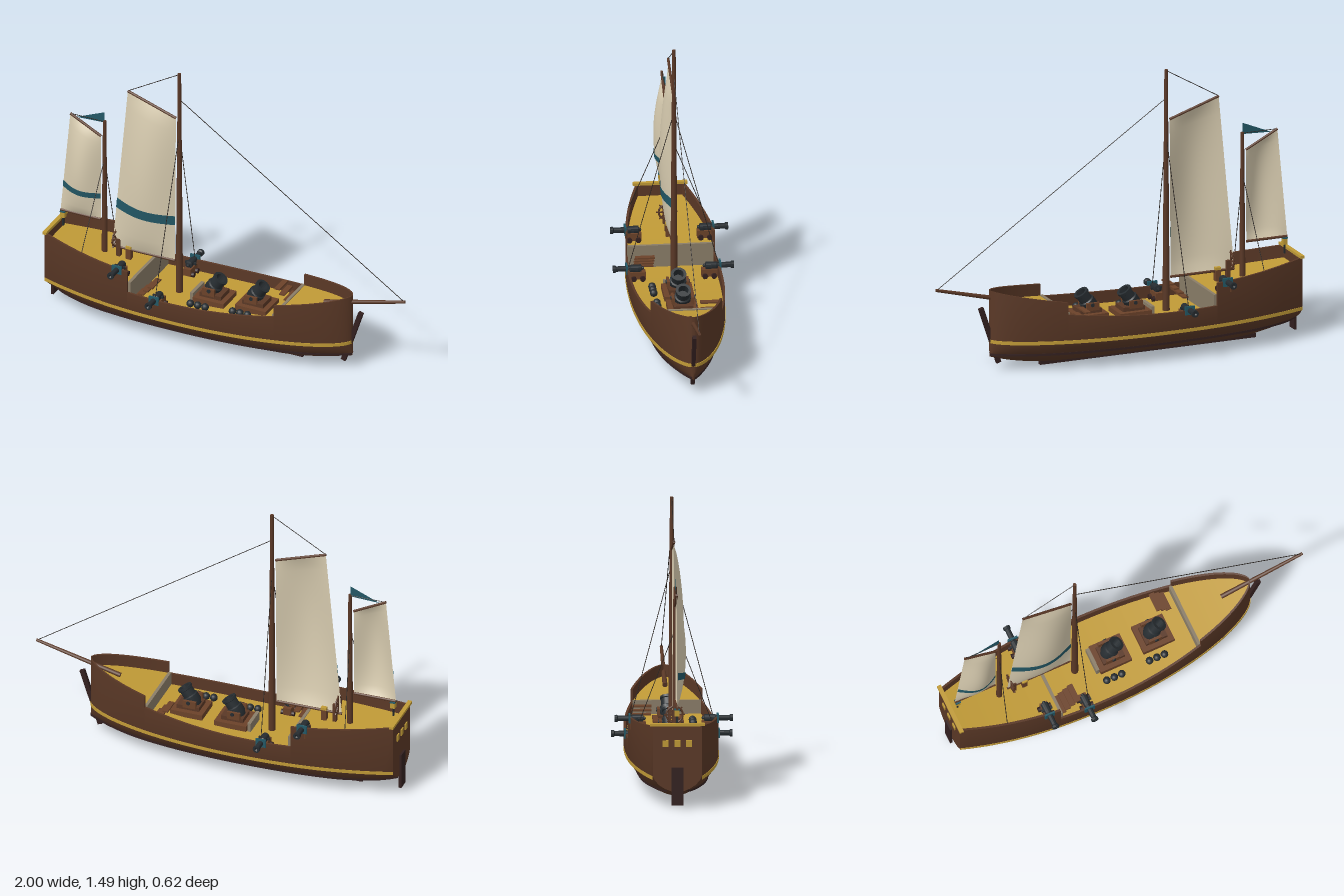
import * as THREE from 'three';
import { toCreasedNormals } from 'three/addons/utils/BufferGeometryUtils.js';

const mat = (name, color, side = THREE.FrontSide) => {
  const m = new THREE.MeshStandardMaterial({ color, side });
  m.name = name;
  return m;
};

export function createModel() {
  const ship = new THREE.Group();
  ship.name = 'sailingShip';
  const hullWood = mat('hullBrown', 0x5a3826, THREE.DoubleSide);
  const darkWood = mat('darkWood', 0x33201f);
  const redWood = mat('carriageBrown', 0x6b4229);
  const yellow = mat('yellow', 0xc09a36);
  const canvas = mat('canvas', 0xd8ccb0, THREE.DoubleSide);
  const teal = mat('teal', 0x235866, THREE.DoubleSide);
  const iron = mat('iron', 0x262c30);
  const greyWood = mat('greyWood', 0x8a7d68);
  const rope = mat('rope', 0x2c2622);

  // --- helpers
  const add = (name, geo, material, x = 0, y = 0, z = 0, parent = ship) => {
    const m = new THREE.Mesh(geo, material);
    m.name = name;
    m.position.set(x, y, z);
    parent.add(m);
    return m;
  };
  const box = (name, w, h, d, material, x, y, z, parent) =>
    add(name, new THREE.BoxGeometry(w, h, d), material, x, y, z, parent);
  const bar = (name, a, b, r1, r2, material, sides = 10) => {
    const p = new THREE.Vector3(...a), q = new THREE.Vector3(...b), d = q.clone().sub(p);
    const m = add(name, new THREE.CylinderGeometry(r2, r1, d.length(), sides), material);
    m.position.copy(p).add(q).multiplyScalar(0.5);
    m.quaternion.setFromUnitVectors(new THREE.Vector3(0, 1, 0), d.normalize());
    return m;
  };
  // surface through rows of points
  const loft = (rows, crease = 0.6) => {
    const n = rows[0].length, index = [];
    for (let i = 0; i < rows.length - 1; i++) for (let j = 0; j < n - 1; j++) {
      const a = i * n + j, c = a + n;
      index.push(a, a + 1, c, a + 1, c + 1, c);
    }
    const g = new THREE.BufferGeometry();
    g.setAttribute('position', new THREE.Float32BufferAttribute(rows.flat(2), 3));
    g.setIndex(index);
    return toCreasedNormals(g, crease);
  };

  // --- hull lines
  const sheer = x => 0.263 + 0.1 * (x + 0.3) ** 2;
  const width = x => x > -0.2
    ? 0.24 * Math.max(0, 1 - ((x + 0.2) / 0.9) ** 2) ** 0.6
    : 0.24 - 0.115 * ((-0.2 - x) / 0.79) ** 2.3;
  const bottom = x => 0.012 + 0.073 * (Math.max(0, -0.6 - x) / 0.39) ** 2
    + 0.065 * (Math.max(0, x - 0.3) / 0.4) ** 2;
  const bilge = [[0, 0], [0.25, 0.08], [0.5, 0.22], [0.75, 0.46], [0.92, 0.74], [1, 1]];
  const section = (x, top) => [
    ...bilge.map(([f, h]) => [f * width(x), bottom(x) + h * (0.17 - bottom(x))]),
    [width(x), top]];
  const widthAt = (x, y) => {
    const s = section(x, 0.5);
    const k = Math.max(1, s.findIndex(p => p[1] >= y));
    const t = (y - s[k - 1][1]) / (s[k][1] - s[k - 1][1]);
    return s[k - 1][0] + t * (s[k][0] - s[k - 1][0]);
  };
  const span = (a, b, n, ease = t => t) =>
    Array.from({ length: n + 1 }, (_, i) => a + (b - a) * ease(i / n));
  // stern, waist and bow parts: stations, rail rise and deck height over the sheer
  const parts = [
    { name: 'aftDeck', xs: span(-0.99, -0.47, 12), rail: 0.122, deck: 0.055 },
    { name: 'mainDeck', xs: span(-0.47, 0.34, 16), rail: 0.002, deck: -0.06 },
    { name: 'foreDeck', xs: span(0.34, 0.7, 16, t => Math.sin(t * Math.PI / 2)), rail: 0.067, deck: 0.005 },
  ];
  const stations = parts.flatMap(p => p.xs);

  // hull with bulwarks, rail and inner walls
  const hullRows = parts.flatMap(p => p.xs.map(x => {
    const top = sheer(x) + p.rail, inner = Math.max(0, width(x) - 0.012);
    const half = [...section(x, top), [inner, top], [inner, sheer(x) + p.deck - 0.01]];
    return [...half.slice(1).reverse().map(([z, y]) => [x, y, z]), ...half.map(([z, y]) => [x, y, -z])];
  }));
  add('hull', loft(hullRows), hullWood);
  const sternHalf = section(-0.99, sheer(-0.99) + 0.122);
  const transom = new THREE.Shape([...sternHalf.map(p => new THREE.Vector2(...p)),
    ...sternHalf.slice(1).reverse().map(([z, y]) => new THREE.Vector2(-z, y))]);
  add('transom', new THREE.ShapeGeometry(transom).rotateY(-Math.PI / 2), hullWood, -0.99);
  for (const p of parts) {
    add(p.name, loft(p.xs.map(x => [-1, 1].map(s =>
      [x, sheer(x) + p.deck, s * Math.max(0, width(x) - 0.008)]))), yellow);
  }

  // painted stripe and lower wale on both sides
  const band = (name, yAt, h, out, material) => {
    for (const s of [1, -1]) {
      const rows = stations.map(x => {
        const y = yAt(x), w = widthAt(x, y);
        const c = [[w - 0.003, y + h], [w + out, y + h], [w + out, y - h], [w - 0.003, y - h]]
          .map(([z, yy]) => [x, yy, s * z]);
        return s > 0 ? c : c.reverse();
      });
      add(name, loft(rows), material);
    }
  };
  band('stripe', () => 0.16, 0.009, 0.006, yellow);
  band('lowerWale', x => Math.max(0.088, bottom(x) + 0.012), 0.006, 0.007, darkWood);

  // keel, stem, rudder and stern details
  box('keel', 1.2, 0.022, 0.022, darkWood, -0.18, 0.011, 0);
  box('stem', 0.025, 0.315, 0.02, darkWood, 0.698, 0.19, 0).rotation.z = -0.32;
  box('rudder', 0.014, 0.195, 0.06, darkWood, -0.993, 0.118, 0);
  box('taffrail', 0.022, 0.014, 0.28, yellow, -0.985, 0.437, 0);
  for (const z of [-0.06, 0, 0.06]) box('sternWindow', 0.008, 0.035, 0.03, yellow, -0.992, 0.34, z);
  box('lanternPost', 0.008, 0.05, 0.008, iron, -0.945, 0.45, 0);
  box('lantern', 0.024, 0.032, 0.024, yellow, -0.945, 0.49, 0);
  box('lanternCap', 0.028, 0.006, 0.028, teal, -0.945, 0.508, 0);

  // bulkheads and stairs to the raised decks
  for (const [x, top, dir, z] of [[-0.463, 0.325, -1, 0.142], [0.335, 0.314, 1, -0.132]]) {
    box('bulkhead', 0.016, top - 0.195, 2 * width(x) - 0.02, greyWood, x, (top + 0.195) / 2, 0);
    for (let i = 0; i < 4; i++) {
      box('stairTread', 0.03, 0.008, 0.1, redWood, x - dir * (0.105 - i * 0.026), 0.303 - i * 0.026, z);
    }
  }

  // masts, bowsprit and rigging
  bar('mainMast', [-0.285, 0.19, 0], [-0.285, 1.487, 0], 0.019, 0.009, hullWood);
  bar('mizzenMast', [-0.71, 0.31, 0], [-0.71, 1.1, 0], 0.016, 0.009, hullWood);
  bar('bowsprit', [0.54, 0.352, 0], [0.997, 0.466, 0], 0.013, 0.008, hullWood);
  const line = (a, b) => bar('rigging', a, b, 0.002, 0.002, rope, 5);
  line([-0.285, 1.482, 0], [-0.58, 1.31, 0]);
  line([-0.285, 1.335, 0], [0.992, 0.466, 0]);
  line([-0.71, 1.095, 0], [-0.905, 1.095, 0]);
  for (const s of [1, -1]) {
    line([-0.285, 1.14, 0], [-0.31, 0.27, s * 0.232]);
    line([-0.71, 0.88, 0], [-0.75, 0.41, s * 0.185]);
  }

  // fore-and-aft sails; corners: foot aft, foot fore, head fore, head aft
  const sail = (name, [fa, ff, hf, ha], belly) => {
    const patch = (v0, v1, n, off) => loft(span(v0, v1, n).map(v => span(0, 1, 14).map(u => [
      (fa[0] * (1 - u) + ff[0] * u) * (1 - v) + (ha[0] * (1 - u) + hf[0] * u) * v,
      (fa[1] * (1 - u) + ff[1] * u) * (1 - v) + (ha[1] * (1 - u) + hf[1] * u) * v,
      off + belly * Math.sin(Math.PI * u) * Math.max(0, Math.sin(Math.PI * v)) ** 0.6,
    ])).reverse(), 1);
    add(name, patch(0, 1, 20, 0), canvas);
    add(name + 'Band', patch(0.25, 0.312, 3, 0.004), teal);
    bar(name + 'Gaff', [...ha, 0], [...hf, 0], 0.007, 0.007, hullWood, 8);
    bar(name + 'Boom', [...fa, 0], [...ff, 0], 0.007, 0.007, hullWood, 8);
  };
  sail('mainSail', [[-0.665, 0.378], [-0.31, 0.378], [-0.305, 1.22], [-0.578, 1.31]], 0.055);
  sail('mizzenSail', [[-0.96, 0.515], [-0.732, 0.515], [-0.73, 1.005], [-0.905, 1.095]], 0.05);
  const flag = new THREE.Shape([[-0.712, 1.09], [-0.712, 1.15], [-0.87, 1.083]].map(p => new THREE.Vector2(...p)));
  add('pennant', new THREE.ShapeGeometry(flag), teal);

  // mortars on timber beds, with shot beside them
  for (const x of [-0.085, 0.155]) {
    const g = new THREE.Group();
    g.name = 'mortar';
    g.position.set(x, sheer(x) - 0.06, 0);
    ship.add(g);
    box('bed', 0.175, 0.03, 0.155, redWood, 0, 0.015, 0, g);
    box('block', 0.12, 0.025, 0.1, hullWood, 0, 0.04, 0, g);
    for (const s of [1, -1]) box('cheek', 0.07, 0.04, 0.014, redWood, -0.01, 0.065, s * 0.05, g);
    const profile = [[0, -0.055], [0.03, -0.05], [0.042, -0.025], [0.042, 0.01], [0.035, 0.015],
      [0.035, 0.05], [0.04, 0.053], [0.04, 0.065], [0.026, 0.065], [0.024, 0.02], [0, 0.02]];
    const barrel = add('barrel', toCreasedNormals(new THREE.LatheGeometry(
      profile.map(p => new THREE.Vector2(...p)), 16), 0.6), iron, 0, 0.08, 0, g);
    barrel.rotation.z = -0.6;
    const trunnion = add('trunnion', new THREE.CylinderGeometry(0.01, 0.01, 0.125, 10), iron, -0.005, 0.075, 0, g);
    trunnion.rotation.x = Math.PI / 2;
    for (let i = -1; i < 2; i++) {
      add('shot', new THREE.SphereGeometry(0.02, 12, 8), iron, i * 0.042 - 0.035, 0.02, 0.125, g);
    }
  }
  box('bedStep', 0.018, 0.05, 0.13, greyWood, -0.184, 0.228, 0);

  // deck guns on both sides
  for (const [x, y, floor, tip] of [[-0.53, 0.385, 0.323, 0.302], [-0.313, 0.265, 0.203, 0.31]]) {
    for (const s of [1, -1]) {
      const g = new THREE.Group();
      g.name = 'deckGun';
      g.position.set(x, 0, 0);
      g.rotation.y = s > 0 ? 0 : Math.PI;
      ship.add(g);
      const profile = [[0, 0], [0.009, 0.004], [0.009, 0.012], [0.02, 0.016], [0.019, 0.07], [0.015, 0.075],
        [0.014, 0.142], [0.019, 0.147], [0.019, 0.16], [0.01, 0.16], [0, 0.15]];
      const barrel = add('barrel', toCreasedNormals(new THREE.LatheGeometry(
        profile.map(p => new THREE.Vector2(...p)), 12), 0.6), iron, 0, y, tip - 0.16, g);
      barrel.rotation.x = Math.PI / 2;
      box('carriage', 0.042, y - floor - 0.022, 0.08, redWood, 0, (y + floor - 0.008) / 2, 0.183, g);
      box('trunnion', 0.06, 0.012, 0.012, iron, 0, y, 0.19, g);
      for (const wx of [-0.029, 0.029]) for (const wz of [0.16, 0.206]) {
        add('wheel', new THREE.CylinderGeometry(0.014, 0.014, 0.014, 10).rotateZ(Math.PI / 2),
          darkWood, wx, floor + 0.014, wz, g);
      }
      box('portPlate', 0.055, 0.045, 0.009, teal, 0, y, width(x) + 0.001, g);
    }
  }

  // steering wheel, its stand and binnacles
  add('steeringWheel', new THREE.TorusGeometry(0.042, 0.005, 6, 20).rotateY(Math.PI / 2), hullWood, -0.645, 0.425, 0);
  for (let i = 0; i < 4; i++) box('spoke', 0.006, 0.108, 0.006, hullWood, -0.645, 0.425, 0).rotation.x = i * Math.PI / 4;
  box('wheelStand', 0.02, 0.105, 0.025, hullWood, -0.628, 0.375, 0);
  box('binnacle', 0.028, 0.06, 0.028, redWood, -0.57, 0.355, 0);
  box('binnacleTop', 0.03, 0.014, 0.03, yellow, -0.57, 0.392, 0);
  return ship;
}
